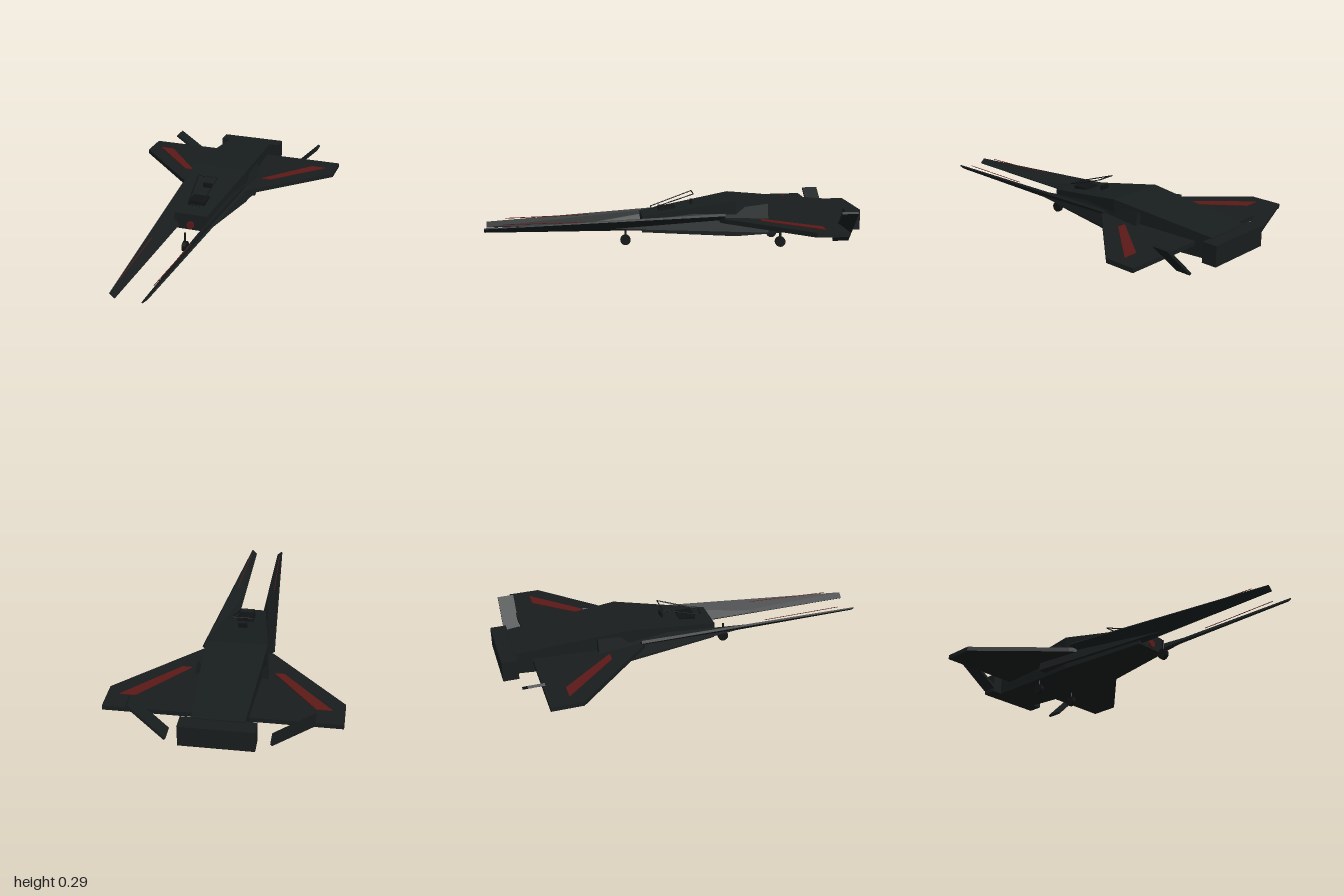
import * as THREE from 'three';

const dark = new THREE.MeshStandardMaterial({ color: 0x181d1e, flatShading: true });
const black = new THREE.MeshStandardMaterial({ color: 0x101314, flatShading: true });
const red = new THREE.MeshStandardMaterial({ color: 0x5c1a17, flatShading: true });

// Solid through matching sections, front to back: { z, pts: counter-clockwise [x, y] }
function loft(sections, side = 1) {
  const rings = sections.map(({ z, pts }) => {
    const ring = pts.map(([x, y]) => [x * side, y, z]);
    return side < 0 ? ring.reverse() : ring;
  });
  const pos = [], n = rings[0].length;
  const tri = (...corners) => corners.forEach(c => pos.push(...c));
  for (let s = 0; s < rings.length - 1; s++) {
    const a = rings[s], b = rings[s + 1];
    for (let i = 0; i < n; i++) {
      const j = (i + 1) % n;
      tri(a[i], b[i], b[j]);
      tri(a[i], b[j], a[j]);
    }
  }
  const first = rings[0], last = rings[rings.length - 1];
  for (let i = 1; i < n - 1; i++) {
    tri(first[0], first[i], first[i + 1]);
    tri(last[0], last[i + 1], last[i]);
  }
  const geo = new THREE.BufferGeometry();
  geo.setAttribute('position', new THREE.Float32BufferAttribute(pos, 3));
  geo.computeVertexNormals();
  return geo;
}

// Flat slab from a plan outline of [x, z] points
function slab(outline, y, height, side) {
  const shape = new THREE.Shape(outline.map(([x, z]) => new THREE.Vector2(x * side, -z)));
  const geo = new THREE.ExtrudeGeometry(shape, { depth: height, bevelEnabled: false });
  return geo.rotateX(-Math.PI / 2).translate(0, y, 0);
}

const rect = (hw, y0, y1) => [[-hw, y0], [hw, y0], [hw, y1], [-hw, y1]];

export function createModel() {
  const model = new THREE.Group();
  const add = (name, geo, mat = dark, x = 0, y = 0, z = 0) => {
    const mesh = new THREE.Mesh(geo, mat);
    mesh.name = name;
    mesh.position.set(x, y, z);
    model.add(mesh);
    return mesh;
  };
  const rod = (name, a, b, r) => {
    const path = new THREE.LineCurve3(new THREE.Vector3(...a), new THREE.Vector3(...b));
    return add(name, new THREE.TubeGeometry(path, 1, r, 6), black);
  };
  const wheel = (name, x, z, top) => {
    add(name + 'Wheel', new THREE.CylinderGeometry(0.028, 0.028, 0.022, 16).rotateZ(Math.PI / 2), black, x, 0.028, z);
    rod(name + 'Strut', [x, 0.03, z], [x, top, z], 0.006);
  };

  // Wedge-shaped hull
  add('hull', loft([
    { z: 0.165, pts: rect(0.09, 0.087, 0.175) },
    { z: -0.33, pts: rect(0.16, 0.07, 0.26) },
    { z: -0.93, pts: rect(0.127, 0.095, 0.21) },
  ]));
  add('engineBlock', new THREE.BoxGeometry(0.365, 0.108, 0.082), dark, 0, 0.151, -0.959);
  add('noseLight', new THREE.CylinderGeometry(0.02, 0.02, 0.02, 16).rotateX(Math.PI / 2), red, 0, 0.115, 0.166);

  // Cockpit: dashboard, seat back and open raised canopy frame
  add('dashboard', new THREE.BoxGeometry(0.09, 0.03, 0.09), black, 0, 0.197, 0.025);
  add('seatBack', new THREE.BoxGeometry(0.05, 0.04, 0.012), black, 0, 0.226, -0.11);
  const frame = [[-0.035, 0.207, 0.11], [0.035, 0.207, 0.11], [0.055, 0.285, -0.115], [-0.055, 0.285, -0.115]];
  frame.forEach((p, i) => rod('canopyFrame', p, frame[(i + 1) % 4], 0.003));

  for (const side of [1, -1]) {
    // Wing with a red stripe
    add('wing', slab([[0.1, -0.2], [0.19, -0.27], [0.58, -0.67], [0.58, -0.835], [0.1, -0.835]], 0.145, 0.024, side));
    add('wingStripe', slab([[0.21, -0.45], [0.26, -0.45], [0.52, -0.73], [0.44, -0.73]], 0.168, 0.005, side), red);

    // Long forward prong: a thin plate leaning outward
    add('prong', loft([
      { z: 1, pts: [[0.065, 0.102], [0.07, 0.098], [0.096, 0.121], [0.091, 0.126]] },
      { z: -0.27, pts: [[0.065, 0.105], [0.075, 0.093], [0.19, 0.185], [0.18, 0.197]] },
    ], side));
    const a = [0.088 * side, 0.143, 0.9], b = [0.107 * side, 0.152, 0.45];
    rod('prongTrim', a, b, 0.002).material = red;

    // Three-sided shoulder tapering forward beside the hull
    add('shoulder', loft([
      { z: 0.43, pts: [[0.068, 0.11], [0.073, 0.11], [0.072, 0.115]] },
      { z: -0.5, pts: [[0.065, 0.1], [0.205, 0.095], [0.17, 0.245]] },
    ], side));

    // Tilted tail plate behind the wing
    const fin = add('tailPlate', new THREE.BoxGeometry(0.25, 0.014, 0.085), dark, 0.35 * side, 0.15, -0.874);
    fin.rotation.z = side > 0 ? Math.PI / 4 : -0.6;

    wheel(side > 0 ? 'rearLeft' : 'rearRight', 0.125 * side, -0.58, 0.1);
  }
  wheel('front', 0, 0.25, 0.11);

  return model;
}
